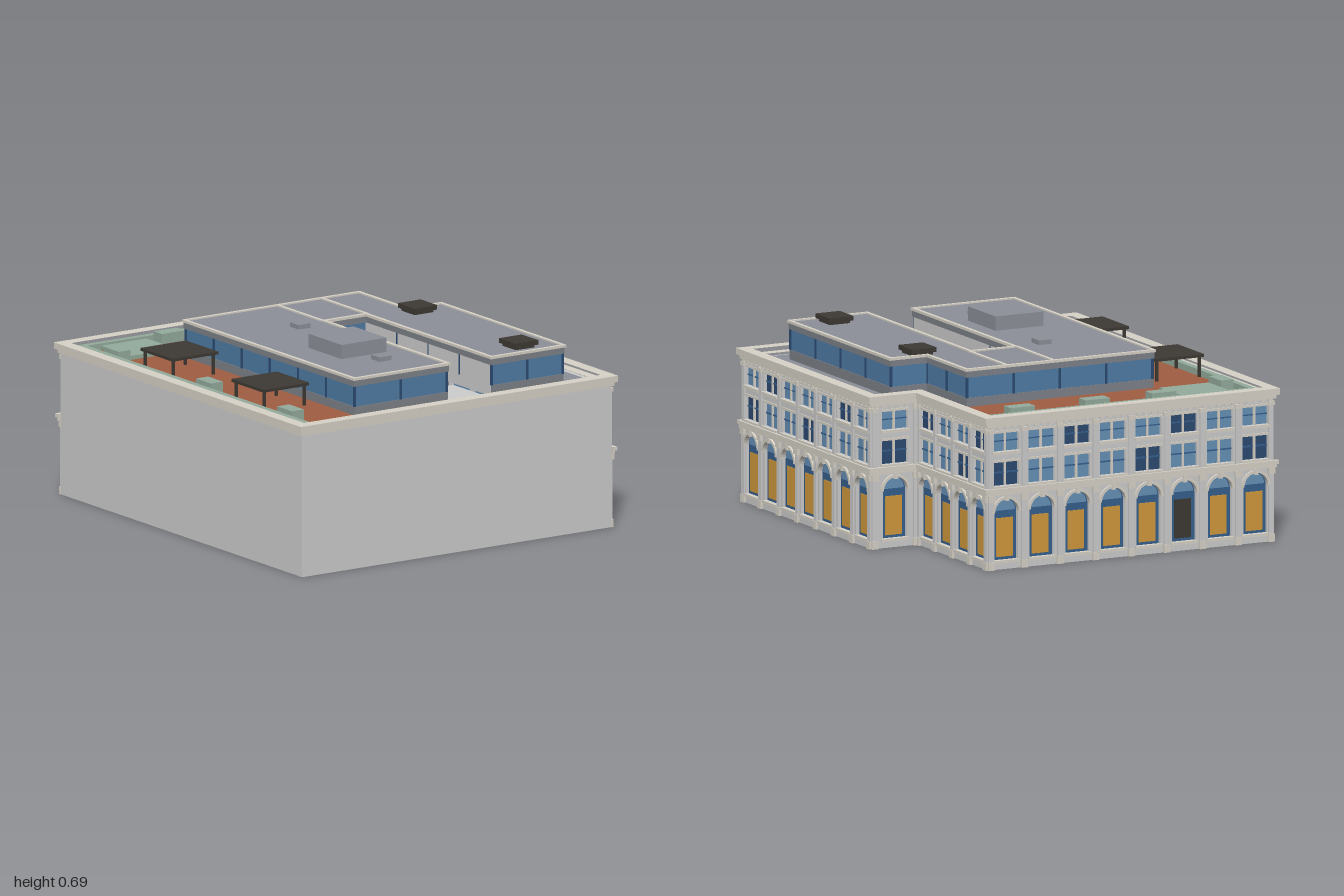
import * as THREE from 'three';

const mat = (color) => new THREE.MeshStandardMaterial({ color, roughness: 0.9 });
const M = {
  wall: mat(0xc6cac6), stone: mat(0xd6d1c6), roof: mat(0x8b8f97), fascia: mat(0x7c8087),
  tile: mat(0x9f5d42), green: mat(0x93aa9b), dark: mat(0x3d3933), glass: mat(0x6690b6),
  glassDark: mat(0x2c4a72), frame: mat(0x365f8c), gold: mat(0xcf983c), penthouse: mat(0x4f7ba4),
};

function add(parent, name, geometry, material, x = 0, y = 0, z = 0) {
  const mesh = new THREE.Mesh(geometry, material);
  mesh.name = name;
  mesh.position.set(x, y, z);
  parent.add(mesh);
  return mesh;
}

// Box given by its centre on the plan and its bottom and top heights
function block(parent, name, material, x, z, w, d, y0, y1) {
  return add(parent, name, new THREE.BoxGeometry(w, y1 - y0, d), material, x, (y0 + y1) / 2, z);
}

const rect = (x0, z0, x1, z1) => [[x0, z1], [x0, z0], [x1, z0], [x1, z1]];

// Moves each side of a right-angled plan outwards by o
function offset(pts, o) {
  const n = pts.length;
  let area = 0;
  pts.forEach(([x, z], i) => { const q = pts[(i + 1) % n]; area += x * q[1] - q[0] * z; });
  const s = Math.sign(area) * o;
  const normal = (a, b) => {
    const l = Math.hypot(b[0] - a[0], b[1] - a[1]);
    return [(b[1] - a[1]) / l, -(b[0] - a[0]) / l];
  };
  return pts.map((p, i) => {
    const a = normal(pts[(i + n - 1) % n], p), b = normal(p, pts[(i + 1) % n]);
    return [p[0] + s * (a[0] + b[0]), p[1] + s * (a[1] + b[1])];
  });
}

// Vertical prism over a plan, with an optional hole
function prism(parent, name, material, pts, y0, y1, hole) {
  const vec = (list) => list.map(([x, z]) => new THREE.Vector2(x, -z));
  const shape = new THREE.Shape(vec(pts));
  if (hole) shape.holes.push(new THREE.Path(vec(hole)));
  const g = new THREE.ExtrudeGeometry(shape, { depth: y1 - y0, bevelEnabled: false });
  g.rotateX(-Math.PI / 2);
  return add(parent, name, g, material, 0, y0, 0);
}

function rectPath(P, x0, y0, x1, y1) {
  const p = new P();
  p.moveTo(x0, y0); p.lineTo(x1, y0); p.lineTo(x1, y1); p.lineTo(x0, y1); p.closePath();
  return p;
}

function archPath(P, cx, y0, spring, r) {
  const p = new P();
  p.moveTo(cx - r, y0); p.lineTo(cx + r, y0); p.lineTo(cx + r, spring);
  p.absarc(cx, spring, r, 0, Math.PI, false);
  p.closePath();
  return p;
}

const R = 0.046, SPRING = 0.2, ROWS = [[0.292, 0.375], [0.412, 0.477]];

// Half ring around the head of an arched window
const ring = new THREE.Shape();
ring.absarc(0, 0, R + 0.01, 0, Math.PI, false);
ring.absarc(0, 0, R, Math.PI, 0, true);
const archivoltGeo = new THREE.ExtrudeGeometry(ring, { depth: 0.008, bevelEnabled: false, curveSegments: 10 });
const fanGeo = new THREE.CircleGeometry(R - 0.006, 14, 0, Math.PI);

// Ornamented street front: x runs along the wall, z points outwards
function facade(parent, name, length, bays, x, z, turn, door = -1) {
  const f = new THREE.Group();
  f.name = name;
  f.position.set(x, 0, z);
  f.rotation.y = turn;
  parent.add(f);
  const box = (n, m, cx, y0, y1, w, z0, z1) => block(f, n, m, cx, (z0 + z1) / 2, w, z1 - z0, y0, y1);
  const skin = rectPath(THREE.Shape, 0, 0, length, 0.5);
  const bw = length / bays, half = Math.min(0.05, bw * 0.38);

  for (let i = 0; i < bays; i++) {
    const cx = (i + 0.5) * bw;
    // arched shop window
    skin.holes.push(archPath(THREE.Path, cx, 0.03, SPRING, R));
    box('archWindowFrame', M.frame, cx, 0.03, SPRING + 0.001, R * 2, -0.018, -0.012);
    add(f, 'archWindowBack', new THREE.CircleGeometry(R, 14, 0, Math.PI), M.frame, cx, SPRING, -0.012);
    add(f, 'archFanlight', fanGeo, M.glass, cx, SPRING + 0.004, -0.01);
    box('shopWindow', i === door ? M.dark : M.gold, cx, 0.042, 0.178, 0.064, -0.014, -0.009);
    box('archSill', M.stone, cx, 0.022, 0.032, R * 2 + 0.012, -0.018, 0.006);
    add(f, 'archivolt', archivoltGeo, M.stone, cx, SPRING, 0);
    box('keystone', M.stone, cx, 0.24, 0.262, 0.014, 0, 0.012);
    // two rows of four-pane windows
    ROWS.forEach(([y0, y1], row) => {
      skin.holes.push(rectPath(THREE.Path, cx - half, y0, cx + half, y1));
      const shade = (i * 5 + row * 3 + bays) % 7 < 2 ? M.glassDark : M.glass;
      box('windowGlass', shade, cx, y0, y1, half * 2, -0.018, -0.012);
      box('windowMullion', M.stone, cx, y0, y1, 0.008, -0.012, -0.006);
      box('windowTransom', M.frame, cx, y0 + (y1 - y0) * 0.52, y0 + (y1 - y0) * 0.58, half * 2, -0.012, -0.008);
      box('windowSill', M.stone, cx, y0 - 0.01, y0, half * 2 + 0.01, 0, 0.008);
      box('windowHead', M.stone, cx, y1, y1 + 0.008, half * 2 + 0.006, 0, 0.004);
    });
  }
  // pilasters with capitals between the bays
  for (let i = 0; i <= bays; i++) {
    const px = Math.min(Math.max(i * bw, 0.01), length - 0.01);
    box('lowerPilaster', M.wall, px, 0, 0.26, 0.02, 0, 0.007);
    box('pilasterFoot', M.stone, px, 0, 0.028, 0.024, 0, 0.01);
    box('pilasterCapital', M.stone, px, 0.238, 0.26, 0.026, 0, 0.012);
    box('upperPilaster', M.wall, px, 0.285, 0.49, 0.018, 0, 0.006);
    box('upperCapital', M.stone, px, 0.478, 0.492, 0.024, 0, 0.01);
  }
  // belt course and dentils
  box('beltCourse', M.stone, length / 2, 0.26, 0.272, length + 0.02, 0, 0.011);
  box('beltCourseCap', M.stone, length / 2, 0.272, 0.285, length + 0.03, 0, 0.016);
  const teeth = Math.round(length / 0.028);
  for (let i = 0; i < teeth; i++) {
    box('dentil', M.stone, (i + 0.5) * length / teeth, 0.492, 0.502, 0.013, 0, 0.008);
  }
  const g = new THREE.ExtrudeGeometry(skin, { depth: 0.02, bevelEnabled: false, curveSegments: 10 });
  add(f, 'streetWall', g, M.wall, 0, 0, -0.02);
}

export function createModel() {
  const model = new THREE.Group();
  model.name = 'building';
  const b = new THREE.Group();
  b.name = 'turnedBuilding';
  b.rotation.y = -Math.PI / 4;
  model.add(b);

  // body, with a light court sunk into the upper half
  const plan = [[-0.775, 0.6], [-0.775, -0.505], [-0.26, -0.505], [-0.26, -0.685], [0.685, -0.685], [0.685, 0.6]];
  const core = [[-0.755, 0.6], [-0.755, -0.485], [-0.24, -0.485], [-0.24, -0.665], [0.685, -0.665], [0.685, 0.6]];
  const court = rect(-0.18, -0.262, 0.605, -0.08);
  prism(b, 'lowerBody', M.wall, core, 0, 0.32);
  prism(b, 'upperBody', M.wall, core, 0.32, 0.5, court);
  block(b, 'courtFloor', M.dark, 0.2125, -0.171, 0.785, 0.182, 0.318, 0.324);
  block(b, 'courtSkylight', M.green, 0.21, -0.17, 0.67, 0.08, 0.32, 0.332);

  // street fronts
  facade(b, 'longFront', 1.105, 8, -0.775, -0.505, -Math.PI / 2, 5);
  facade(b, 'backFront', 0.945, 7, 0.685, -0.685, Math.PI);
  facade(b, 'recessedFront', 0.515, 4, -0.26, -0.505, Math.PI);
  facade(b, 'returnFront', 0.18, 1, -0.26, -0.685, -Math.PI / 2);

  // cornice and parapet
  const inner = offset(plan, -0.026);
  prism(b, 'corniceBed', M.stone, offset(plan, 0.009), 0.5, 0.514, inner);
  prism(b, 'corniceCap', M.stone, offset(plan, 0.018), 0.514, 0.536, inner);

  // roof deck and tiled terrace
  prism(b, 'roofDeck', M.roof, offset(plan, -0.024), 0.499, 0.504, court);
  prism(b, 'terrace', M.tile, [[-0.748, 0.573], [-0.748, -0.478], [-0.457, -0.478], [-0.457, 0.305],
    [0.645, 0.305], [0.645, 0.573]], 0.5, 0.508);

  // glazed penthouse wrapped around the court
  const pent = [[-0.45, 0.303], [0.57, 0.303], [0.57, -0.08], [-0.18, -0.08], [-0.18, -0.262],
    [0.578, -0.262], [0.578, -0.556], [-0.158, -0.556], [-0.158, -0.415], [-0.45, -0.415]];
  prism(b, 'penthousePlinth', M.fascia, offset(pent, 0.003), 0.5, 0.538);
  prism(b, 'penthouseGlass', M.penthouse, pent, 0.538, 0.612);
  prism(b, 'penthouseFascia', M.fascia, offset(pent, 0.006), 0.61, 0.632);
  prism(b, 'penthouseRoof', M.roof, pent, 0.63, 0.636);
  prism(b, 'penthouseTrim', M.stone, offset(pent, 0.01), 0.632, 0.641, offset(pent, -0.003));
  for (const z of [-0.08, -0.262]) block(b, 'roofSeam', M.stone, -0.315, z, 0.27, 0.012, 0.632, 0.641);
  block(b, 'courtWallLeft', M.wall, 0.195, -0.081, 0.75, 0.006, 0.5, 0.612);
  block(b, 'courtWallRight', M.wall, 0.199, -0.261, 0.757, 0.006, 0.5, 0.612);
  pent.forEach((p, i) => {
    const q = pent[(i + 1) % pent.length];
    const n = Math.max(1, Math.round(Math.hypot(q[0] - p[0], q[1] - p[1]) / 0.17));
    for (let k = 0; k < n; k++) {
      const t = k / n;
      block(b, 'penthouseMullion', M.glassDark, p[0] + (q[0] - p[0]) * t, p[1] + (q[1] - p[1]) * t, 0.008, 0.008, 0.538, 0.612);
    }
  });

  // rooftop plant
  block(b, 'plantRoom', M.roof, 0.208, 0.083, 0.2, 0.187, 0.636, 0.686);
  for (const [x, z] of [[-0.155, 0.03], [0.389, 0.068]]) block(b, 'roofHatch', M.roof, x, z, 0.052, 0.05, 0.636, 0.652);
  for (const [x, z] of [[-0.117, -0.431], [0.5, -0.428]]) {
    block(b, 'fanUnitBase', M.dark, x, z, 0.08, 0.078, 0.636, 0.648);
    block(b, 'fanUnit', M.dark, x, z, 0.1, 0.095, 0.646, 0.662);
  }

  // terrace planting
  block(b, 'sideHedge', M.green, -0.0435, 0.549, 1.373, 0.024, 0.505, 0.53);
  block(b, 'frontHedge', M.green, -0.719, 0.04, 0.024, 1.04, 0.505, 0.53);
  block(b, 'lawn', M.green, -0.617, 0.386, 0.18, 0.19, 0.505, 0.522);
  for (const z of [-0.333, -0.042, 0.216]) block(b, 'planter', M.green, -0.679, z, 0.05, 0.095, 0.505, 0.544);
  for (const x of [-0.57, -0.011, 0.48]) block(b, 'planter', M.green, x, 0.507, 0.09, 0.05, 0.505, 0.544);

  // pergolas
  for (const [x, z] of [[-0.28, 0.448], [0.268, 0.446]]) {
    block(b, 'pergolaRoof', M.dark, x, z, 0.195, 0.19, 0.579, 0.589);
    for (const sx of [-1, 1]) for (const sz of [-1, 1]) {
      block(b, 'pergolaPost', M.dark, x + sx * 0.085, z + sz * 0.083, 0.009, 0.009, 0.505, 0.58);
    }
  }
  return model;
}
